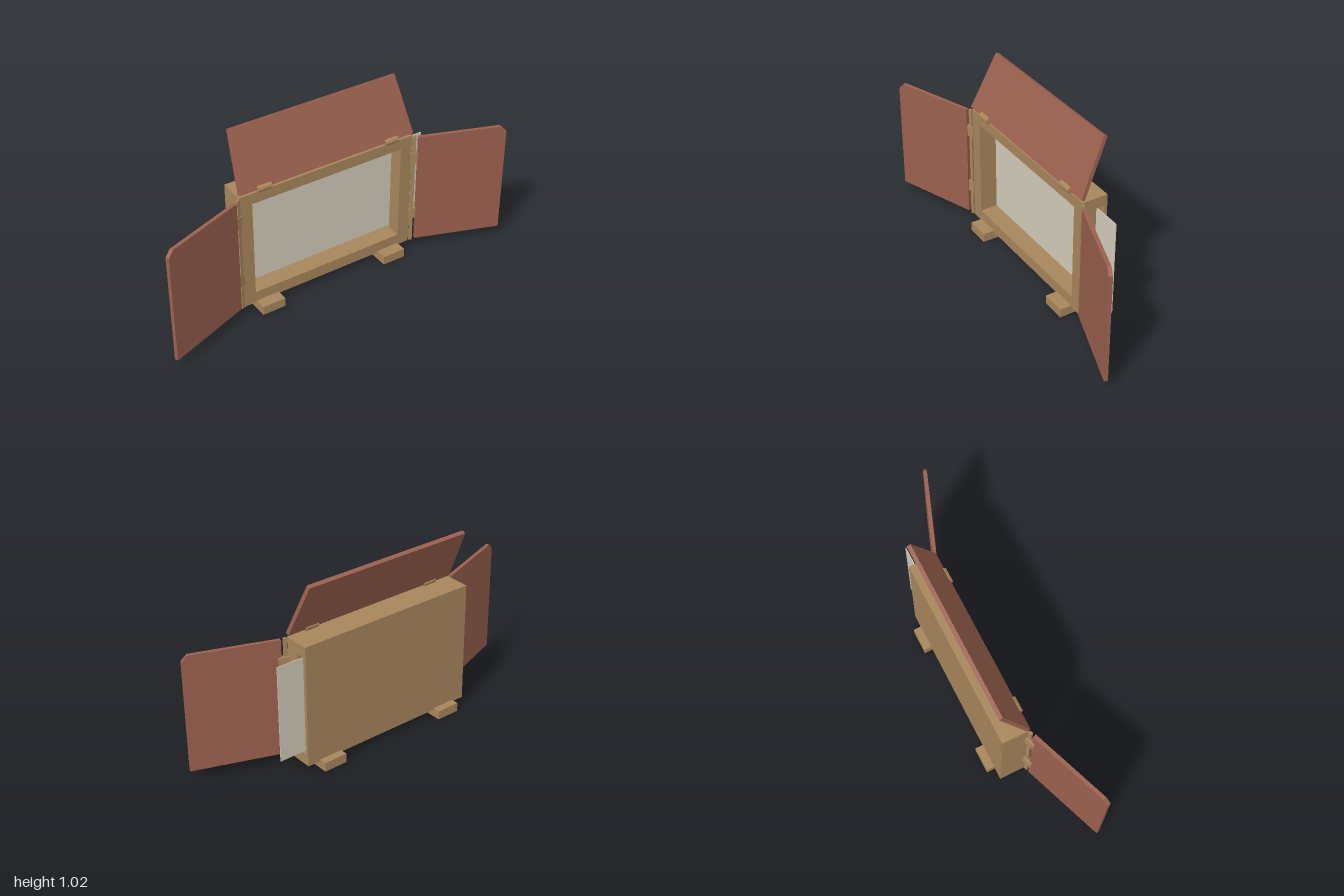
import * as THREE from 'three';

const wood = new THREE.MeshStandardMaterial({ color: 0xa8865c });
wood.name = 'pale wood';
const redWood = new THREE.MeshStandardMaterial({ color: 0x9a604e });
redWood.name = 'red brown wood';
const paper = new THREE.MeshStandardMaterial({ color: 0xd2cbb9 });
paper.name = 'paper';

const polygon = (points) => new THREE.Shape(points.map(([x, y]) => new THREE.Vector2(x, y)));

function add(parent, name, geometry, material, x = 0, y = 0, z = 0) {
  const mesh = new THREE.Mesh(geometry, material);
  mesh.name = name;
  mesh.position.set(x, y, z);
  parent.add(mesh);
  return mesh;
}

// Flat board with its thickness centred on z = 0
function board(shape, depth) {
  return new THREE.ExtrudeGeometry(shape, { depth, bevelEnabled: false }).translate(0, 0, -depth / 2);
}

export function createModel() {
  const model = new THREE.Group();
  model.name = 'pictureStage';

  // Case: front frame, slotted layer open on the left side, back board
  const W = 0.515, B = 0.04, T = 0.71, w = 0.445, b = 0.105, t = 0.65;
  const frame = polygon([[-W, B], [W, B], [W, T], [-W, T]]);
  frame.holes.push(polygon([[-w, b], [-w, t], [w, t], [w, b]]));
  add(model, 'frontFrame', board(frame, 0.08), wood, 0, 0, -0.04);
  const slotted = polygon([[-W, B], [W, B], [W, b], [-w, b], [-w, t], [W, t], [W, T], [-W, T]]);
  add(model, 'slottedFrame', board(slotted, 0.045), wood, 0, 0, -0.1025);
  add(model, 'backBoard', new THREE.BoxGeometry(2 * W, T - B, 0.018), wood, 0, (T + B) / 2, -0.134);

  // Picture card sliding out of the slot
  add(model, 'pictureCard', new THREE.BoxGeometry(1.095, 0.528, 0.004), paper, 0.1025, 0.37, -0.1);

  // Top flap, leaning back
  const flap = polygon([[-0.515, 0], [0.515, 0], [0.485, 0.325], [-0.485, 0.325]]);
  add(model, 'topFlap', board(flap, 0.022), redWood, 0, 0.723, -0.002)
    .rotation.x = -THREE.MathUtils.degToRad(25.2);

  const angle = THREE.MathUtils.degToRad(20);
  for (const s of [1, -1]) {
    const side = s > 0 ? 'left' : 'right';

    // Door with a clipped outer top corner
    const door = polygon([[0, 0.057], [0.48, 0.057], [0.48, 0.667], [0.449, 0.7], [0, 0.7]]
      .map(([x, y]) => [s * x, y]));
    add(model, side + 'Door', board(door, 0.02), redWood, s * 0.5455, 0, 0.013).rotation.y = -s * angle;

    // Hinge strip between the case and the door
    add(model, side + 'HingeStrip', new THREE.BoxGeometry(0.018, 0.66, 0.013), wood,
      s * 0.526, 0.375, 0.004).rotation.y = -s * angle;

    // Door hinges
    for (const y of [0.223, 0.573]) {
      add(model, side + 'DoorHinge', new THREE.BoxGeometry(0.056, 0.066, 0.025), wood,
        s * 0.537, y, 0.003).rotation.y = -s * angle;
    }

    // Flap hinge
    const knuckle = new THREE.CylinderGeometry(0.02, 0.02, 0.078, 10).toNonIndexed();
    knuckle.computeVertexNormals();
    knuckle.rotateZ(Math.PI / 2);
    add(model, side + 'FlapHinge', knuckle, wood, s * 0.377, 0.725, -0.002);

    // Foot
    add(model, side + 'Foot', new THREE.BoxGeometry(0.133, 0.05, 0.25), wood, s * 0.377, 0.025, -0.06);
  }
  return model;
}
